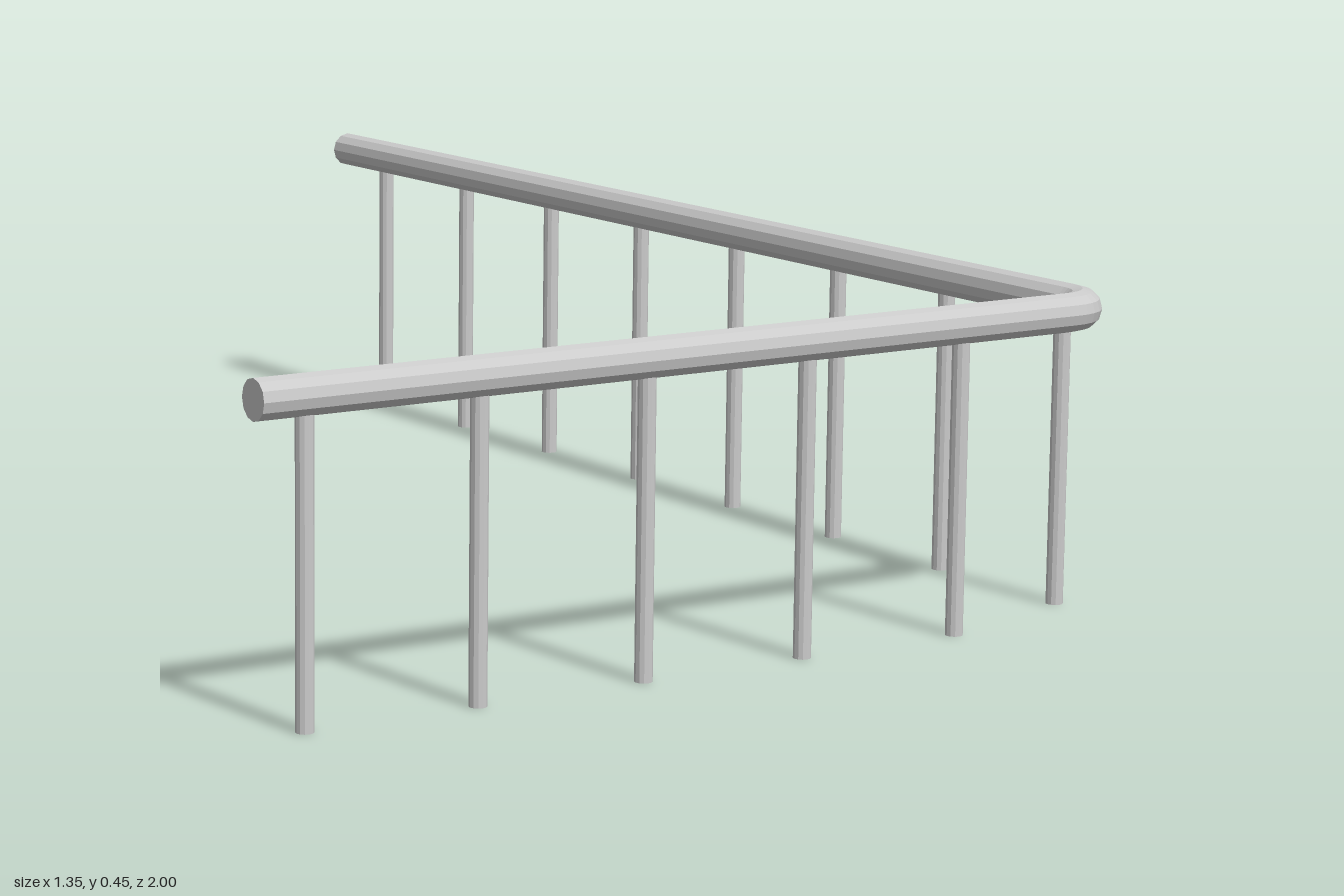
import * as THREE from 'three';

export function createModel() {
  const group = new THREE.Group();
  const material = new THREE.MeshStandardMaterial({ color: 0xcccccc, flatShading: true });
  const railY = 0.422, railR = 0.027, bendR = 0.06, sides = 12;
  const cornerX = 0.645, cornerZ = 0.972;

  const add = (name, geometry, x, y, z) => {
    const mesh = new THREE.Mesh(geometry, material);
    mesh.name = name;
    mesh.position.set(x, y, z);
    group.add(mesh);
  };

  // Straight runs of the handrail
  const frontStart = -0.673, frontEnd = cornerX - bendR;
  const frontLength = frontEnd - frontStart;
  add('frontRail', new THREE.CylinderGeometry(railR, railR, frontLength, sides).rotateZ(Math.PI / 2),
    (frontStart + frontEnd) / 2, railY, cornerZ);

  const sideStart = -1, sideEnd = cornerZ - bendR;
  const sideLength = sideEnd - sideStart;
  add('sideRail', new THREE.CylinderGeometry(railR, railR, sideLength, sides).rotateX(Math.PI / 2),
    cornerX, railY, (sideStart + sideEnd) / 2);

  // Quarter bend joining the two runs
  add('cornerBend', new THREE.TorusGeometry(bendR, railR, sides, 8, Math.PI / 2).rotateX(Math.PI / 2),
    frontEnd, railY, sideEnd);

  // Evenly spaced posts, reaching just into the rail
  const postHeight = 0.405, spacing = 0.2522;
  const postGeometry = new THREE.CylinderGeometry(0.012, 0.012, postHeight, sides);
  for (let i = 0; i < 5; i++) add('frontPost', postGeometry, -0.601 + i * spacing, postHeight / 2, cornerZ);
  for (let i = 0; i < 8; i++) add('sidePost', postGeometry, cornerX, postHeight / 2, 0.894 - i * spacing);

  return group;
}
